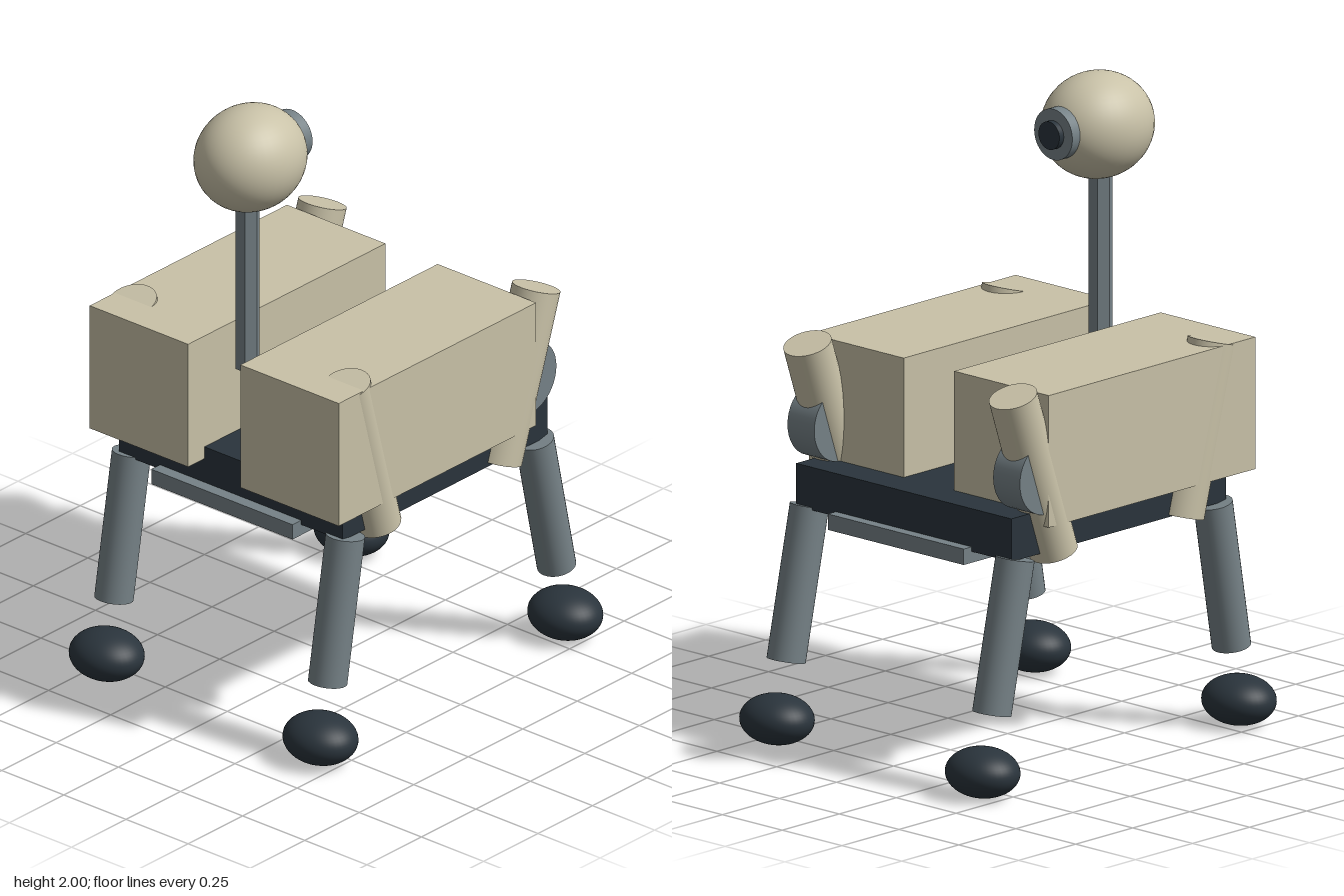
import * as THREE from 'three';

const shell = new THREE.MeshStandardMaterial({ color: 0xc9c2a8 });
shell.name = 'beige shell';
const metal = new THREE.MeshStandardMaterial({ color: 0x768287 });
metal.name = 'grey metal';
const dark = new THREE.MeshStandardMaterial({ color: 0x2a343c });
dark.name = 'dark slate';
const metalFlat = metal; // shared by faceted and round metal parts

export function createModel() {
  const model = new THREE.Group();
  model.name = 'walkingRobot';

  const add = (name, geometry, material, x, y, z) => {
    const mesh = new THREE.Mesh(geometry, material);
    mesh.name = name;
    mesh.position.set(x, y, z);
    model.add(mesh);
    return mesh;
  };

  // Box given by its extents
  const box = (name, material, [x0, x1], [y0, y1], [z0, z1]) =>
    add(name, new THREE.BoxGeometry(x1 - x0, y1 - y0, z1 - z0), material,
      (x0 + x1) / 2, (y0 + y1) / 2, (z0 + z1) / 2);

  // Cylinder running between two points of the xy plane, at depth z
  const rod = (name, material, r, [ax, ay], [bx, by], z) => {
    const dx = bx - ax, dy = by - ay;
    const mesh = add(name, new THREE.CylinderGeometry(r, r, Math.hypot(dx, dy), 32), material,
      (ax + bx) / 2, (ay + by) / 2, z);
    mesh.rotation.z = Math.atan2(-dx, dy);
    return mesh;
  };

  const ellipsoid = (name, material, x, y, z, rx, ry, rz) =>
    add(name, new THREE.SphereGeometry(1, 40, 28), material, x, y, z).scale.set(rx, ry, rz);

  // Chassis
  box('deck', dark, [-0.485, 0.455], [0.72, 0.855], [-0.45, 0.45]);
  box('bellyPlate', metal, [-0.525, 0.49], [0.685, 0.735], [-0.284, 0.284]);

  // Side bodies and legs, mirrored across z
  const legs = [
    { name: 'front', hip: [0.427, 1.23], knee: [0.25, 0.71], top: [0.418, 0.72], ankle: [0.52, 0.253], foot: 0.56 },
    { name: 'rear', hip: [-0.445, 1.23], knee: [-0.304, 0.708], top: [-0.449, 0.72], ankle: [-0.53, 0.253], foot: -0.563 },
  ];
  for (const [side, s] of [['Right', 1], ['Left', -1]]) {
    box('cargoBox' + side, shell, [-0.56, 0.345], [0.815, 1.23], s > 0 ? [0.105, 0.501] : [-0.501, -0.105]);
    const z = 0.43 * s;
    for (const leg of legs) {
      const label = leg.name + side;
      rod(label + 'UpperLeg', shell, 0.075, leg.knee, leg.hip, z);
      // Round joint at the middle of the upper leg
      add(label + 'Joint', new THREE.CylinderGeometry(0.117, 0.117, 0.112, 40), metal,
        (leg.hip[0] + leg.knee[0]) / 2, 0.97, z).rotation.x = Math.PI / 2;
      rod(label + 'LowerLeg', metal, 0.06, leg.ankle, leg.top, z);
      ellipsoid(label + 'Foot', dark, leg.foot, 0.077, z, 0.107, 0.077, 0.121);
    }
  }

  // Hexagonal mast
  const mast = new THREE.CylinderGeometry(0.038, 0.038, 0.62, 6).toNonIndexed();
  mast.computeVertexNormals();
  add('mast', mast, metalFlat, -0.407, 1.44, 0);

  // Head with its lens looking along +x
  ellipsoid('head', shell, -0.394, 1.835, 0, 0.185, 0.165, 0.163);
  const disc = (name, material, r, x0, x1) => {
    add(name, new THREE.CylinderGeometry(r, r, x1 - x0, 40), material,
      (x0 + x1) / 2, 1.842, 0).rotation.z = -Math.PI / 2;
  };
  disc('lensRing', metal, 0.08, -0.237, -0.2);
  disc('lens', dark, 0.044, -0.23, -0.181);

  return model;
}
